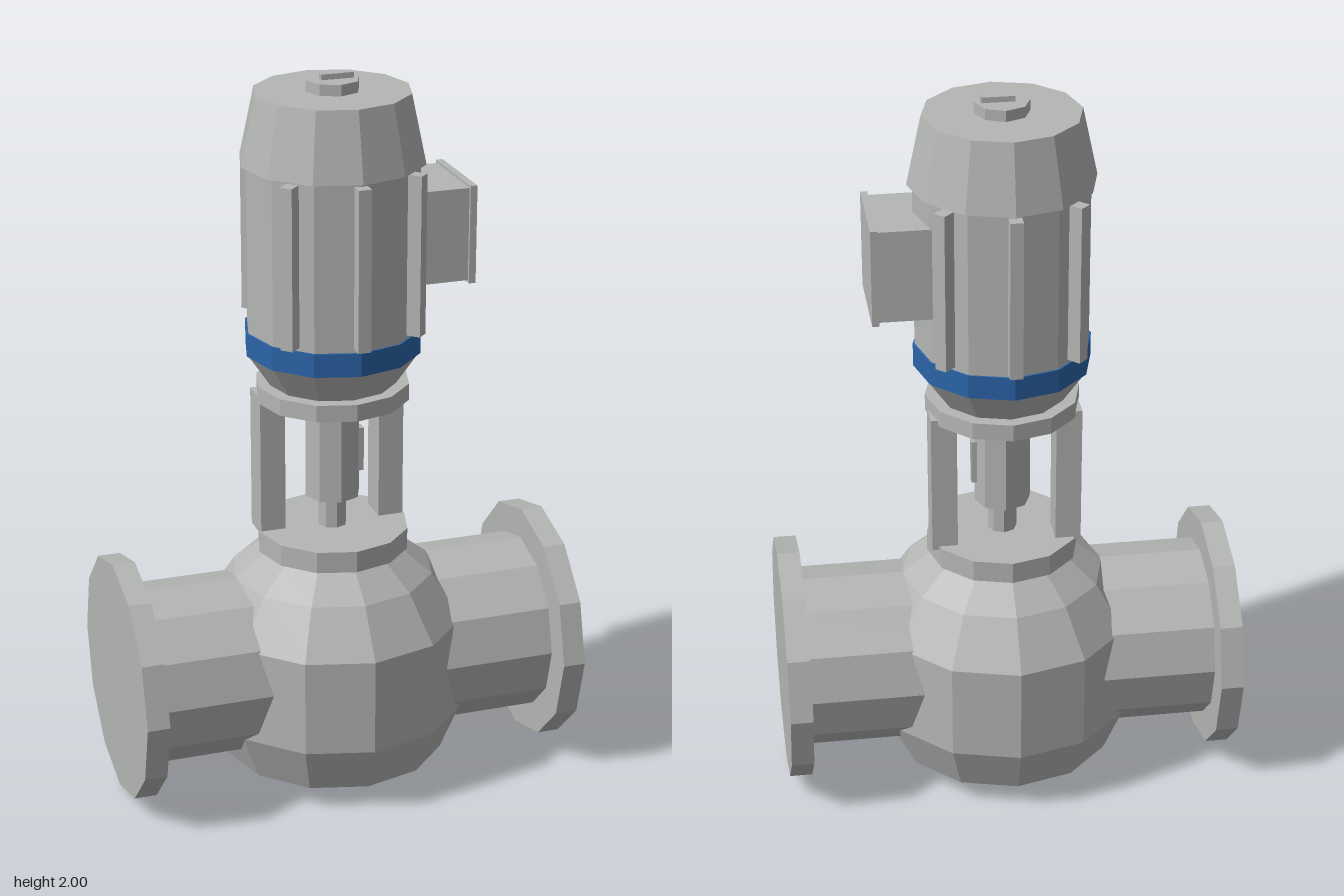
import * as THREE from 'three';

export function createModel() {
  const model = new THREE.Group();
  model.name = 'inlinePump';
  const grey = new THREE.MeshStandardMaterial({ color: 0xb4b6b4, flatShading: true });
  grey.name = 'castGrey';
  const blue = new THREE.MeshStandardMaterial({ color: 0x2b64a8, flatShading: true });
  blue.name = 'bandBlue';

  function add(name, geometry, material = grey) {
    const mesh = new THREE.Mesh(geometry, material);
    mesh.name = name;
    model.add(mesh);
    return mesh;
  }
  // Upright faceted drum between two heights
  function drum(name, y0, y1, rBottom, rTop = rBottom, sides = 12, material = grey) {
    const mesh = add(name, new THREE.CylinderGeometry(rTop, rBottom, y1 - y0, sides), material);
    mesh.position.y = (y0 + y1) / 2;
    return mesh;
  }
  // Box given by its lower and upper corner
  function box(name, [x0, y0, z0], [x1, y1, z1]) {
    const mesh = add(name, new THREE.BoxGeometry(x1 - x0, y1 - y0, z1 - z0));
    mesh.position.set((x0 + x1) / 2, (y0 + y1) / 2, (z0 + z1) / 2);
    return mesh;
  }

  // Bulbous pump casing
  const profile = [[0, 0], [0.15, 0], [0.31, 0.065], [0.365, 0.2], [0.365, 0.47],
    [0.28, 0.6], [0.185, 0.675], [0, 0.675]].map(([r, y]) => new THREE.Vector2(r, y));
  add('pumpCasing', new THREE.LatheGeometry(profile, 12));

  // Inlet and outlet pipes with end flanges
  for (const [side, s] of [['left', 1], ['right', -1]]) {
    for (const [part, r, x0, x1] of [['Pipe', 0.249, 0.1, 0.57], ['Flange', 0.336, 0.563, 0.625]]) {
      const mesh = add(side + part, new THREE.CylinderGeometry(r, r, x1 - x0, 12));
      mesh.rotation.z = Math.PI / 2;
      mesh.position.set(s * (x0 + x1) / 2, 0.354, 0);
    }
  }

  // Open yoke carrying the motor
  drum('lowerYokeRing', 0.67, 0.73, 0.21);
  drum('upperYokeRing', 1.108, 1.155, 0.21);
  box('leftYokePost', [0.135, 0.72, -0.09], [0.205, 1.12, 0]);
  box('rightYokePost', [-0.205, 0.72, -0.09], [-0.135, 1.12, 0]);

  // Shaft and coupling
  drum('shaft', 0.7, 1.13, 0.04, 0.04, 8);
  drum('coupling', 0.82, 1.065, 0.077, 0.077, 8);
  box('couplingKey', [0.05, 0.88, -0.014], [0.086, 1.005, 0.014]);

  // Motor housing
  drum('motorNeck', 1.155, 1.245, 0.175, 0.235);
  drum('blueBand', 1.245, 1.31, 0.24, 0.24, 12, blue);
  drum('motorBody', 1.31, 1.768, 0.235);
  drum('fanCover', 1.768, 1.955, 0.25, 0.21);
  drum('topCap', 1.955, 1.985, 0.073, 0.073, 8);
  box('capBar', [-0.033, 1.98, -0.012], [0.055, 2, 0.012]);

  // Cooling ribs, left off where the terminal box sits and opposite it
  for (const degrees of [0, 45, 135, 180, 225, 315]) {
    const a = THREE.MathUtils.degToRad(degrees);
    const rib = add('coolingRib', new THREE.BoxGeometry(0.035, 0.44, 0.06));
    rib.position.set(Math.sin(a) * 0.236, 1.54, Math.cos(a) * 0.236);
    rib.rotation.y = a;
  }

  // Terminal box and lid
  box('terminalBox', [0.18, 1.437, -0.122], [0.34, 1.692, 0.122]);
  box('terminalLid', [0.339, 1.43, -0.13], [0.358, 1.699, 0.13]);

  return model;
}
